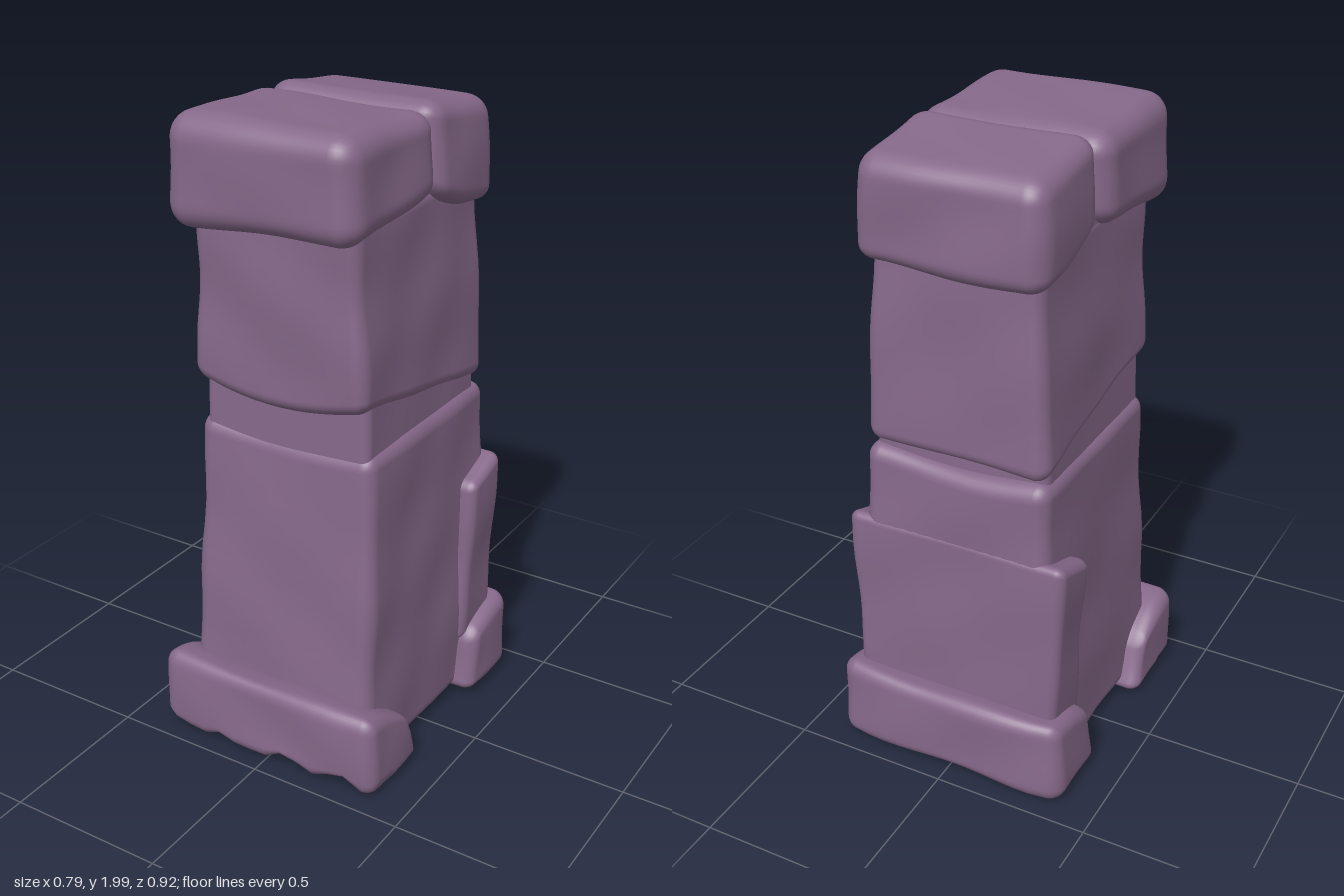
import * as THREE from 'three';
import { mergeVertices } from 'three/addons/utils/BufferGeometryUtils.js';

const SEG = 20, BAND = 4;

// Grid spacing that packs rows of vertices into the rounded edges
function spread(t, half, r) {
  const i = Math.round((t + 0.5) * SEG);
  if (i <= BAND) return -half + r * (1 - Math.tan((1 - i / BAND) * Math.PI / 4));
  if (i >= SEG - BAND) return -spread(-t, half, r);
  return (half - r) * (2 * (i - BAND) / (SEG - 2 * BAND) - 1);
}

// Smooth lumps shared by all stones
function lump(x, y, z) {
  return 0.5 * Math.sin(9 * x + 5 * y + 1) * Math.sin(8 * z - 6 * y + 2)
    + 0.35 * Math.sin(17 * y + 11 * x + 4 * z) + 0.25 * Math.sin(21 * z - 13 * x + 9 * y);
}

// Worn stone: footprints [x0, x1, z0, z1] at the bottom and top, then an optional warp
function stone(name, material, y0, y1, bottom, top, r, rough, warp) {
  const half = [(bottom[1] - bottom[0]) / 2, (y1 - y0) / 2, (bottom[3] - bottom[2]) / 2];
  const box = new THREE.BoxGeometry(1, 1, 1, SEG, SEG, SEG);
  box.deleteAttribute('uv');
  box.deleteAttribute('normal');
  const geo = mergeVertices(box, 1e-5);
  const pos = geo.attributes.position;
  const p = new THREE.Vector3(), core = new THREE.Vector3(), n = new THREE.Vector3();
  for (let i = 0; i < pos.count; i++) {
    p.fromBufferAttribute(pos, i);
    p.set(...p.toArray().map((t, k) => spread(t, half[k], r)));
    core.set(...p.toArray().map((c, k) => THREE.MathUtils.clamp(c, r - half[k], half[k] - r)));
    n.subVectors(p, core).normalize();
    p.copy(core).addScaledVector(n, r);
    const u = p.x / half[0] / 2 + 0.5, v = p.y / half[1] / 2 + 0.5, w = p.z / half[2] / 2 + 0.5;
    const f = bottom.map((b, k) => THREE.MathUtils.lerp(b, top[k], v));
    p.set(f[0] + (f[1] - f[0]) * u, y0 + (y1 - y0) * v, f[2] + (f[3] - f[2]) * w);
    p.addScaledVector(n, rough * lump(p.x, p.y, p.z));
    if (warp) warp(p, u, v, w);
    pos.setXYZ(i, p.x, p.y, p.z);
  }
  geo.computeVertexNormals();
  const mesh = new THREE.Mesh(geo, material);
  mesh.name = name;
  return mesh;
}

export function createModel() {
  const group = new THREE.Group();
  group.name = 'stonePillar';
  const rock = new THREE.MeshStandardMaterial({ color: 0x86698a });
  rock.name = 'purpleStone';
  const add = (name, ...args) => group.add(stone(name, rock, ...args));

  // Shaft: inner core with a lower and an upper block, split by a groove
  add('shaftCore', 0.02, 1.8, [-0.31, 0.31, -0.34, 0.33], [-0.26, 0.26, -0.32, 0.29], 0.03, 0.004);
  add('lowerBlock', 0.02, 1.07, [-0.325, 0.325, -0.39, 0.375], [-0.297, 0.3, -0.37, 0.315], 0.05, 0.008,
    (p, u, v) => { p.y -= 0.02 * v * Math.sin(u * Math.PI); });
  add('upperBlock', 1.13, 1.76, [-0.293, 0.293, -0.367, 0.35], [-0.262, 0.267, -0.345, 0.355], 0.045, 0.008,
    (p, u, v, w) => { p.y += (1 - v) * (0.13 * w - 0.05 - 0.05 * w * Math.sin(u * Math.PI)); });

  // Thick cladding wrapped around the lower rear corners
  add('rearCladding', 0.2, 0.83, [-0.335, 0.335, -0.388, -0.195], [-0.36, 0.36, -0.378, -0.205], 0.03, 0.006,
    (p, u, v, w) => { p.y -= 0.06 * v * w; });

  // Cap: two stones meeting at a seam
  add('frontCap', 1.68, 2.0, [-0.31, 0.312, -0.03, 0.437], [-0.305, 0.295, -0.035, 0.437], 0.075, 0.008,
    (p, u, v, w) => {
      p.y += (1 - v) * (0.05 * (1 - w) + 0.025 * (u - 0.5)) - 0.015 * v * (1 - w);
    });
  add('rearCap', 1.64, 2.0, [-0.29, 0.312, -0.382, -0.015], [-0.275, 0.285, -0.375, -0.025], 0.065, 0.008,
    (p, u, v, w) => { p.y += (1 - v) * 0.1 * w * w - v * 0.045 * (1 - w); });

  // Base stones: sloped inner ends, the front one chipped along its lower edge
  add('frontBase', 0.012, 0.275, [-0.388, 0.388, 0.15, 0.46], [-0.38, 0.38, 0.22, 0.452], 0.045, 0.008,
    (p, u, v, w) => {
      p.y -= 0.09 * v * Math.pow(1 - w, 2);
      const chip = Math.max(0, Math.sin(u * 23 + 1)) * 0.6 + Math.max(0, Math.sin(u * 51)) * 0.4;
      if (v < 0.35 && w > 0.6) p.y += chip * (u > 0.55 ? 0.06 : 0.025) * (1 - v / 0.35);
      p.z -= 0.015 * Math.pow(2 * u - 1, 2) * w;
    });
  add('rearBase', 0.02, 0.29, [-0.388, 0.388, -0.46, -0.175], [-0.38, 0.38, -0.455, -0.215], 0.045, 0.008,
    (p, u, v, w) => {
      p.y -= 0.06 * v * w * w;
      p.z += 0.025 * Math.pow(2 * u - 1, 4) * (1 - w);
    });

  return group;
}
